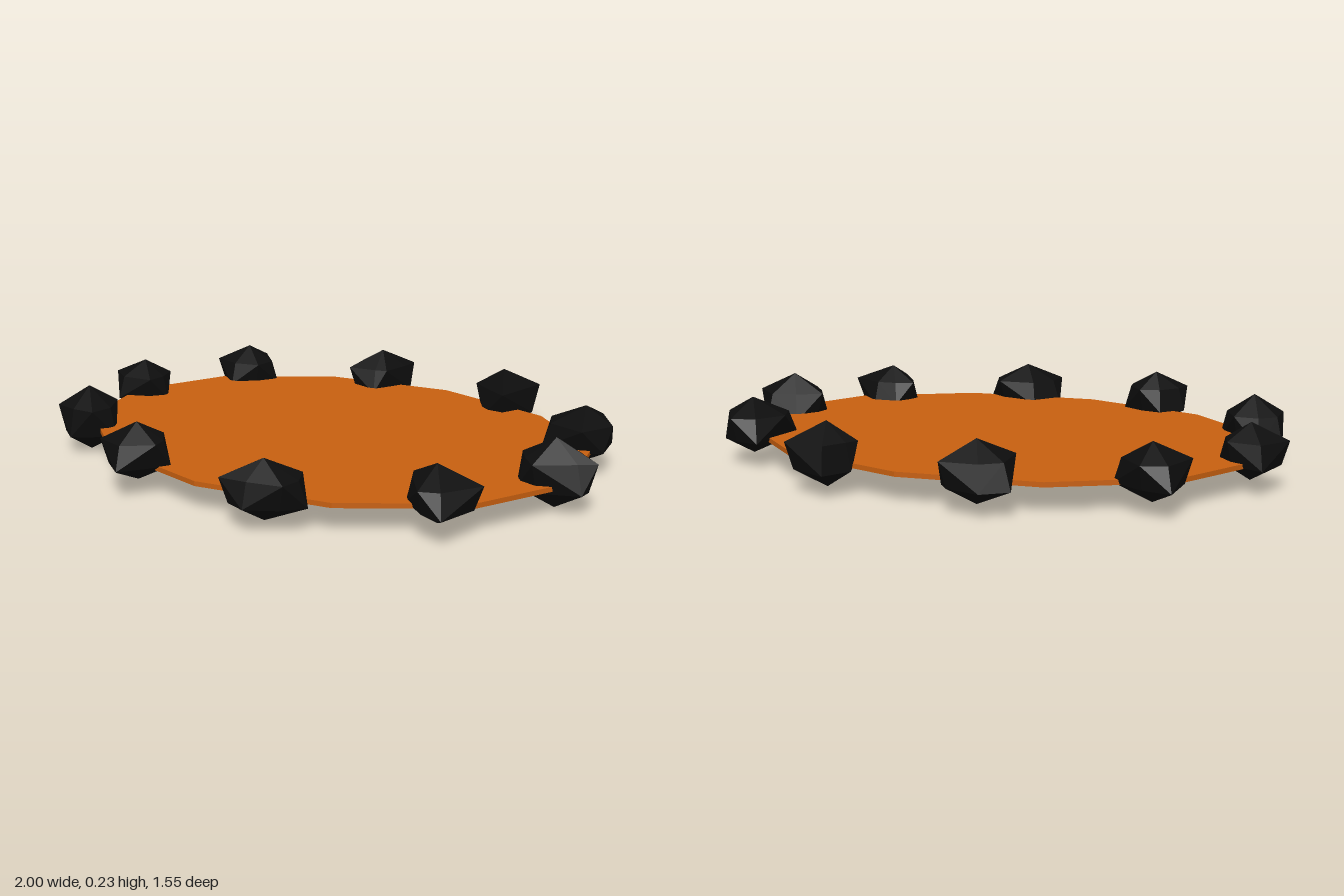
import * as THREE from 'three';
import { ConvexGeometry } from 'three/addons/geometries/ConvexGeometry.js';

const char = new THREE.MeshStandardMaterial({ color: 0x0d0d0d });
char.name = 'charcoal black';
const ember = new THREE.MeshStandardMaterial({ color: 0xc86010 });
ember.name = 'ember orange';

// Faceted stone: a plan outline [x, z, ...] zigzagging between two belts, closed by a top and a bottom point
function makeStone(name, bottom, top, outline) {
  const plan = [];
  for (let i = 0; i < outline.length; i += 2) plan.push(new THREE.Vector2(outline[i], outline[i + 1]));
  const c = plan.reduce((sum, p) => sum.add(p), new THREE.Vector2()).divideScalar(plan.length);
  const h = top - bottom;
  const points = [new THREE.Vector3(c.x, top, c.y), new THREE.Vector3(c.x, bottom, c.y)];
  plan.forEach((p, i) => {
    const high = bottom + h * 0.71, low = bottom + h * 0.29;
    const inner = c.clone().lerp(p, 0.8);
    points.push(new THREE.Vector3(p.x, i % 2 ? high : low, p.y));
    points.push(new THREE.Vector3(inner.x, i % 2 ? low : high, inner.y));
  });
  const mesh = new THREE.Mesh(new ConvexGeometry(points), char);
  mesh.name = name;
  return mesh;
}

export function createModel() {
  const model = new THREE.Group();
  model.name = 'stoneRing';

  // Thin twelve-sided oval plate
  const plate = new THREE.Mesh(new THREE.CylinderGeometry(1, 1, 0.016, 12).toNonIndexed(), ember);
  plate.geometry.scale(0.92, 1, 0.692);
  plate.geometry.computeVertexNormals();
  plate.position.y = 0.089;
  plate.name = 'ovalPlate';
  model.add(plate);

  // Ring of stones around the rim
  const stones = new THREE.Group();
  stones.name = 'stones';
  const add = (...args) => stones.add(makeStone(...args));
  add('stoneBackRight', 0.02, 0.22, [-.33, -.76, -.195, -.76, -.17, -.70, -.195, -.58, -.23, -.545, -.34, -.545, -.40, -.69]);
  add('stoneBackLeft', 0.015, 0.225, [.205, -.78, .36, -.755, .37, -.69, .34, -.535, .25, -.56, .17, -.63, .165, -.68]);
  add('stoneRearLeft', 0.03, 0.22, [.635, -.535, .73, -.545, .795, -.495, .835, -.42, .835, -.36, .79, -.295, .635, -.305, .61, -.41]);
  add('stoneLeft', 0.005, 0.23, [.90, -.125, 1, -.02, .975, .03, .845, .11, .765, .065, .74, -.01, .80, -.085]);
  add('stoneForeLeft', 0.03, 0.215, [.715, .295, .835, .36, .79, .515, .71, .52, .60, .42, .585, .36, .63, .31]);
  add('stoneFrontLeft', 0.02, 0.215, [.18, .57, .325, .565, .40, .635, .37, .715, .255, .765, .16, .76, .125, .67]);
  add('stoneFrontRight', 0.04, 0.23, [-.33, .57, -.255, .555, -.17, .615, -.175, .675, -.255, .775, -.37, .725, -.385, .66]);
  add('stoneForeRight', 0, 0.225, [-.80, .30, -.705, .315, -.62, .41, -.65, .49, -.73, .52, -.82, .485, -.86, .365]);
  add('stoneRight', 0.03, 0.215, [-.96, -.115, -.835, -.09, -.78, -.015, -.80, .055, -.92, .095, -1, .02]);
  add('stoneRearRight', 0.03, 0.215, [-.83, -.515, -.735, -.53, -.615, -.45, -.635, -.36, -.725, -.31, -.83, -.355]);
  model.add(stones);
  return model;
}
